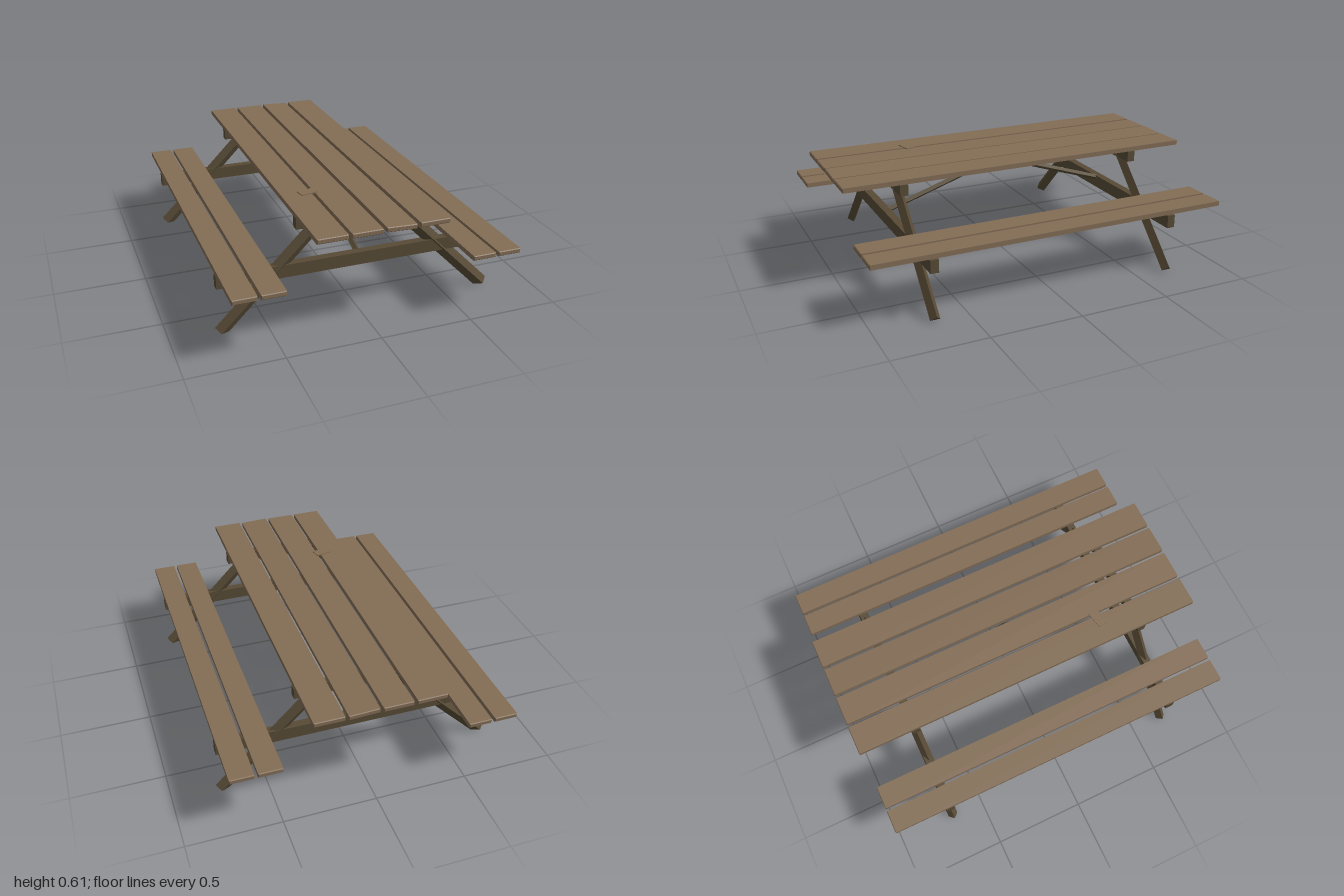
import * as THREE from 'three';

const plankWood = new THREE.MeshStandardMaterial({ color: 0x836d55 });
plankWood.name = 'plank wood';
const frameWood = new THREE.MeshStandardMaterial({ color: 0x584b36 });
frameWood.name = 'frame wood';

const FRAME_Z = 0.681;

function add(parent, name, geometry, material) {
  const mesh = new THREE.Mesh(geometry, material);
  mesh.name = name;
  parent.add(mesh);
  return mesh;
}

// Board running along z with small chamfers on every edge
function plankGeometry(width, height, length) {
  const b = 0.004, w = width / 2 - b, h = height / 2 - b;
  const shape = new THREE.Shape([
    new THREE.Vector2(-w, -h), new THREE.Vector2(w, -h),
    new THREE.Vector2(w, h), new THREE.Vector2(-w, h),
  ]);
  const g = new THREE.ExtrudeGeometry(shape, {
    depth: length - 2 * b, bevelThickness: b, bevelSize: b, bevelSegments: 1,
  });
  return g.translate(0, 0, b - length / 2);
}

// Diamond-section beam from a to b; its side ridges point along the side vector
function diamondBeam(a, b, side, halfSide, halfNormal, minY, maxY) {
  const shape = new THREE.Shape([
    new THREE.Vector2(halfSide, 0), new THREE.Vector2(0, halfNormal),
    new THREE.Vector2(-halfSide, 0), new THREE.Vector2(0, -halfNormal),
  ]);
  const d = b.clone().sub(a);
  const g = new THREE.ExtrudeGeometry(shape, { depth: d.length(), bevelEnabled: false });
  d.normalize();
  const n = d.clone().cross(side);
  g.applyMatrix4(new THREE.Matrix4().makeBasis(side, n, d).setPosition(a));
  // Trim the ends level by sliding corners along the beam
  const p = g.attributes.position, v = new THREE.Vector3();
  for (let i = 0; i < p.count; i++) {
    v.fromBufferAttribute(p, i);
    const y = THREE.MathUtils.clamp(v.y, minY, maxY);
    v.addScaledVector(d, (y - v.y) / d.y);
    p.setXYZ(i, v.x, v.y, v.z);
  }
  g.computeVertexNormals();
  return g;
}

export function createModel() {
  const model = new THREE.Group();
  model.name = 'picnicTable';

  // Tabletop, with one slightly twisted board
  const tabletop = new THREE.Group();
  tabletop.name = 'tabletop';
  model.add(tabletop);
  [-0.266, -0.09, 0.086, 0.262].forEach((x, i) => {
    const board = add(tabletop, 'tabletopPlank', plankGeometry(0.158, 0.026, 2), plankWood);
    board.position.set(x, 0.593, 0);
    if (i === 2) board.rotation.z = -0.04;
  });

  // Small loose sliver of wood bridging two boards
  const chip = add(tabletop, 'woodChip', new THREE.BoxGeometry(0.095, 0.006, 0.055), plankWood);
  chip.position.set(-0.203, 0.608, 0.475);
  chip.rotation.y = 0.2;

  // Benches
  for (const s of [1, -1]) {
    const bench = new THREE.Group();
    bench.name = s > 0 ? 'leftBench' : 'rightBench';
    model.add(bench);
    for (const x of [0.553, 0.695]) {
      const board = add(bench, 'benchPlank', plankGeometry(0.125, 0.026, 2), plankWood);
      board.position.set(s * x, 0.355, 0);
    }
  }

  // End frames: bench rail, top cleat, splayed legs and centre brace
  const zAxis = new THREE.Vector3(0, 0, 1), xAxis = new THREE.Vector3(1, 0, 0);
  for (const s of [1, -1]) {
    const frame = new THREE.Group();
    frame.name = s > 0 ? 'frontFrame' : 'backFrame';
    model.add(frame);
    const z = s * FRAME_Z;
    add(frame, 'benchRail', new THREE.BoxGeometry(1.515, 0.07, 0.044), frameWood)
      .position.set(0, 0.3, z);
    add(frame, 'topCleat', new THREE.BoxGeometry(0.688, 0.06, 0.044), frameWood)
      .position.set(0, 0.55, z);
    for (const side of [1, -1]) {
      add(frame, 'leg', diamondBeam(
        new THREE.Vector3(side * 0.743, 0.009, z), new THREE.Vector3(side * 0.187, 0.568, z),
        zAxis, 0.027, 0.038, 0, 0.582), frameWood);
    }
    add(frame, 'centreBrace', diamondBeam(
      new THREE.Vector3(0, 0.313, s * 0.695), new THREE.Vector3(0, 0.54, 0),
      xAxis, 0.018, 0.015, 0, 0.58), frameWood);
  }
  return model;
}
